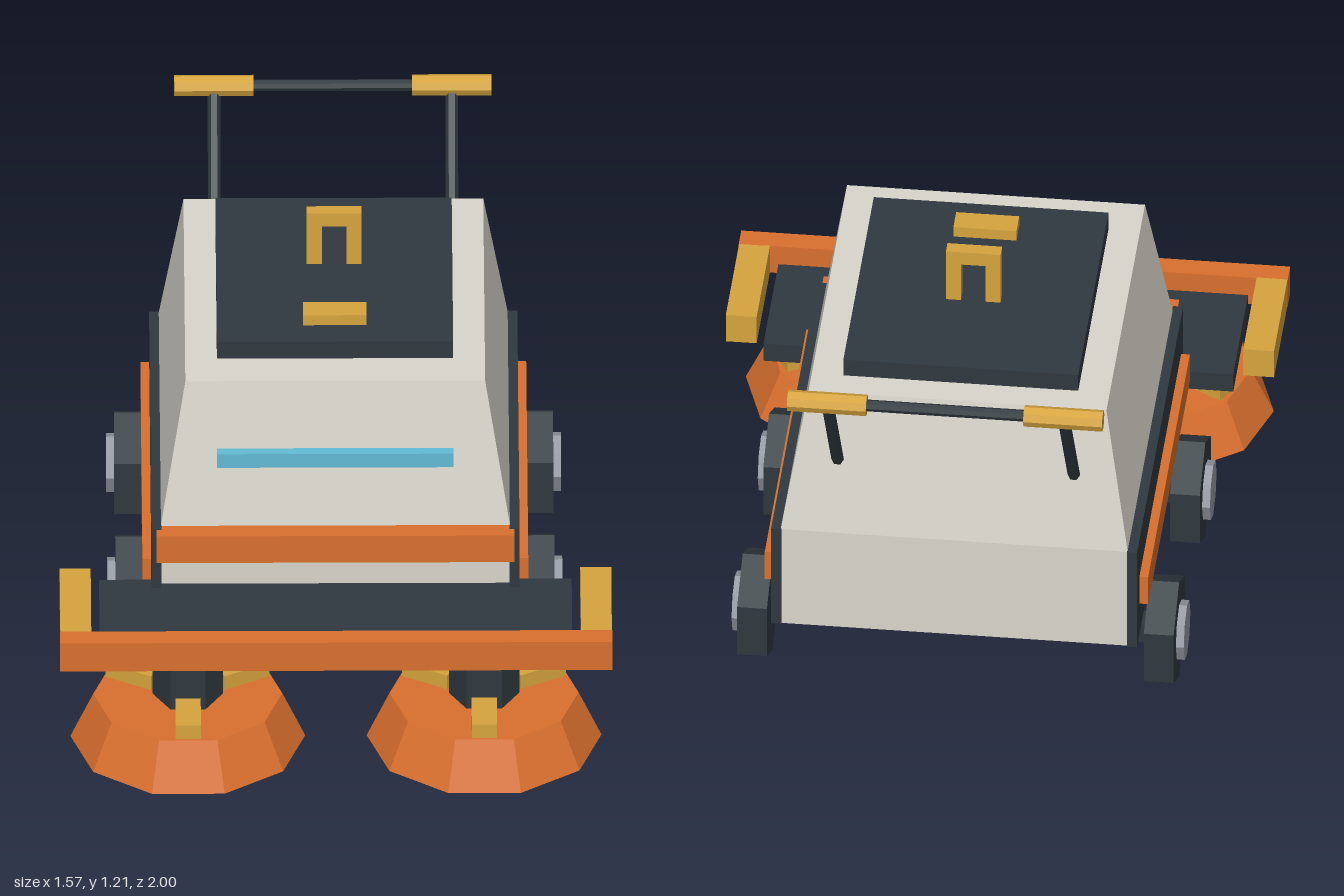
import * as THREE from 'three';

const mat = (name, color) => {
  const m = new THREE.MeshStandardMaterial({ color });
  m.name = name;
  return m;
};

export function createModel() {
  const root = new THREE.Group();
  root.name = 'streetSweeper';
  const cream = mat('cream', 0xd8d5cb);
  const orange = mat('orange', 0xd96f2e);
  const dark = mat('charcoal', 0x2f393f);
  const gold = mat('gold', 0xd6a43d);
  const grey = mat('grey', 0x959aa3);
  const blue = mat('blue', 0x62bbd4);

  const add = (name, geometry, material, parent = root) => {
    const mesh = new THREE.Mesh(geometry, material);
    mesh.name = name;
    parent.add(mesh);
    return mesh;
  };
  // Box given by its limits on each axis
  const box = (name, material, [x0, x1], [y0, y1], [z0, z1], parent) => {
    const g = new THREE.BoxGeometry(x1 - x0, y1 - y0, z1 - z0);
    g.translate((x0 + x1) / 2, (y0 + y1) / 2, (z0 + z1) / 2);
    return add(name, g, material, parent);
  };
  // Faceted cylinder, first corner on local +x
  const prism = (rTop, rBottom, h, sides) =>
    new THREE.CylinderGeometry(rTop, rBottom, h, sides, 1, false, Math.PI / 2).toNonIndexed();
  const faceted = (g) => { g.computeVertexNormals(); return g; };

  // Hull lofted through rectangles: y, half width, back z, front z
  const rings = [
    [0.23, 0.495, -0.745, 0.412],
    [0.56, 0.495, -0.745, 0.412],
    [0.99, 0.425, -0.66, 0.33],
  ].map(([y, w, b, f]) => [[-w, y, f], [w, y, f], [w, y, b], [-w, y, b]]);
  const pos = [];
  const quad = (a, b, c, d) => [a, b, c, a, c, d].forEach((p) => pos.push(...p));
  for (let r = 0; r < rings.length - 1; r++) {
    for (let i = 0; i < 4; i++) {
      const j = (i + 1) % 4;
      quad(rings[r][i], rings[r][j], rings[r + 1][j], rings[r + 1][i]);
    }
  }
  quad(...rings[2]);
  quad(...[...rings[0]].reverse());
  const hull = new THREE.BufferGeometry();
  hull.setAttribute('position', new THREE.Float32BufferAttribute(pos, 3));
  add('body', faceted(hull), cream);

  // Front trim and roof hatch
  box('frontBumper', orange, [-0.507, 0.507], [0.472, 0.56], [0.4, 0.47]);
  box('lightStrip', blue, [-0.335, 0.335], [0.745, 0.79], [0.36, 0.4]);
  box('hatch', dark, [-0.335, 0.335], [0.985, 1.045], [-0.575, 0.207]);
  box('hatchLatch', gold, [-0.09, 0.09], [1.04, 1.078], [0.045, 0.117]);
  box('hatchHandleTop', gold, [-0.078, 0.078], [1.17, 1.213], [-0.255, -0.215]);

  // Push bar across the back
  const barY = 1.18, barZ = -0.967;
  const bar = add('pushBar', prism(0.017, 0.017, 0.6, 8), dark);
  bar.rotation.z = Math.PI / 2;
  bar.position.set(0, barY, barZ);

  // Deck and front rail over the brushes
  box('brushDeck', dark, [-0.67, 0.67], [0.308, 0.368], [0.39, 0.775]);
  box('frontRail', orange, [-0.783, 0.783], [0.337, 0.43], [0.772, 0.837]);

  // Axles
  for (const z of [0.102, -0.571]) {
    box('axle', dark, [-0.56, 0.56], [0.14, 0.203], [z - 0.032, z + 0.032]);
  }

  for (const s of [-1, 1]) {
    const span = (a, b) => (s > 0 ? [a, b] : [-b, -a]);

    // Side skirts and stripes
    box('sideSkirt', dark, span(0.493, 0.522), [0.23, 0.562], [-0.75, 0.435]);
    box('sideStripe', orange, span(0.515, 0.547), [0.338, 0.433], [-0.687, 0.384]);
    box('railArm', gold, span(0.694, 0.782), [0.338, 0.43], [0.43, 0.775]);
    box('hatchHandlePost', gold, span(0.035, 0.078), [1.04, 1.175], [-0.255, -0.215]);

    // Push bar struts and grips
    const low = new THREE.Vector3(s * 0.337, 0.79, -0.705);
    const high = new THREE.Vector3(s * 0.337, barY, barZ);
    const dir = high.clone().sub(low);
    const strut = add('pushBarStrut', faceted(prism(0.018, 0.018, dir.length(), 6)), dark);
    strut.position.copy(low).lerp(high, 0.5);
    strut.quaternion.setFromUnitVectors(new THREE.Vector3(0, 1, 0), dir.normalize());
    const grip = add('grip', faceted(prism(0.031, 0.031, 0.225, 8)), gold);
    grip.rotation.z = Math.PI / 2;
    grip.position.set(s * 0.337, barY, barZ);

    // Six-sided wheels with hubs
    for (const z of [0.102, -0.571]) {
      const wheel = new THREE.Group();
      wheel.name = 'wheel';
      wheel.position.set(s * 0.58, 0.17, z);
      wheel.rotation.z = -s * Math.PI / 2;
      root.add(wheel);
      add('tyre', faceted(prism(0.166, 0.166, 0.085, 6)), dark, wheel);
      add('hub', faceted(prism(0.086, 0.086, 0.1, 8)), grey, wheel).position.y = 0.015;
    }

    // Rotary brush with hanger and three spokes
    const brush = new THREE.Group();
    brush.name = 'brush';
    brush.position.set(s * 0.42, 0, 0.685);
    root.add(brush);
    add('bristles', faceted(prism(0.268, 0.333, 0.14, 10)), orange, brush).position.y = 0.1;
    add('brushPost', faceted(prism(0.1, 0.1, 0.16, 6)), dark, brush).position.y = 0.24;
    for (let i = 0; i < 3; i++) {
      const spoke = box('brushSpoke', gold, [-0.036, 0.036], [0.165, 0.215], [0.1, 0.248], brush);
      spoke.rotation.y = (i * Math.PI * 2) / 3;
    }
  }
  faceted(bar.geometry);
  return root;
}
